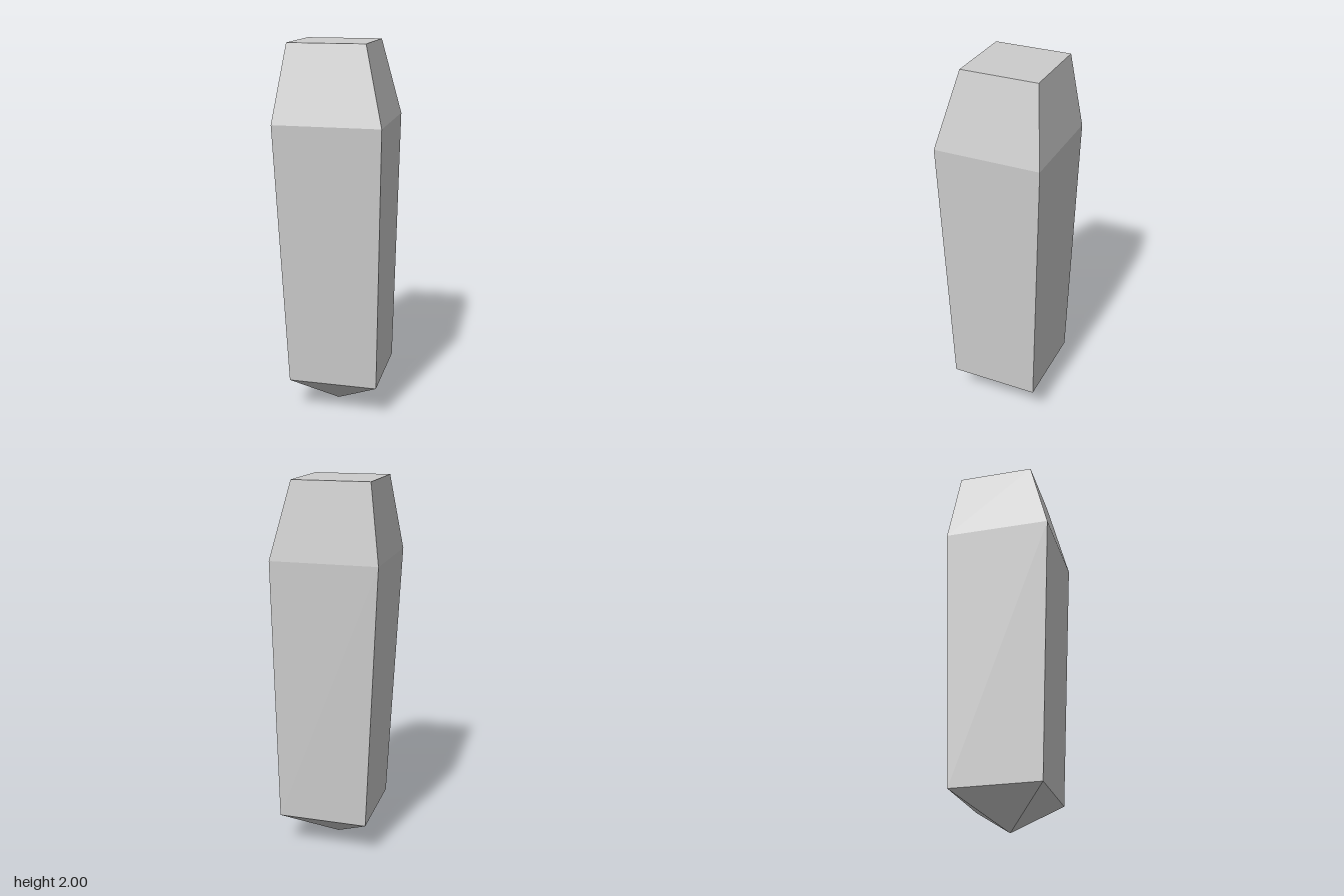
import * as THREE from 'three';

// Cross-sections from the bottom tip to the flat top
const SECTIONS = [
  { y: 0, r: 0, x: 0, z: 0 },
  { y: 0.185, r: 0.34, x: 0.025, z: 0 },
  { y: 1.6, r: 0.4, x: 0, z: 0 },
  { y: 2, r: 0.288, x: 0, z: -0.033 },
  { y: 2, r: 0, x: 0, z: -0.033 },
];
const SIDES = 4;

function corner(s, i) {
  const a = (i / SIDES) * Math.PI * 2;
  return [s.x + s.r * Math.sin(a), s.y, s.z + s.r * Math.cos(a)];
}

// Joins neighbouring sections with flat facets
function crystalGeometry() {
  const pos = [];
  for (let k = 0; k < SECTIONS.length - 1; k++) {
    const low = SECTIONS[k], high = SECTIONS[k + 1];
    for (let i = 0; i < SIDES; i++) {
      const a = corner(low, i), b = corner(low, i + 1);
      const c = corner(high, i + 1), d = corner(high, i);
      if (low.r > 0) pos.push(...a, ...b, ...c);
      if (high.r > 0) pos.push(...a, ...c, ...d);
    }
  }
  const geo = new THREE.BufferGeometry();
  geo.setAttribute('position', new THREE.Float32BufferAttribute(pos, 3));
  geo.computeVertexNormals();
  return geo;
}

export function createModel() {
  const group = new THREE.Group();
  group.name = 'crystal';
  const material = new THREE.MeshStandardMaterial({ color: 0xcccccc, flatShading: true });
  const shard = new THREE.Mesh(crystalGeometry(), material);
  shard.name = 'crystalShard';
  group.add(shard);
  return group;
}
